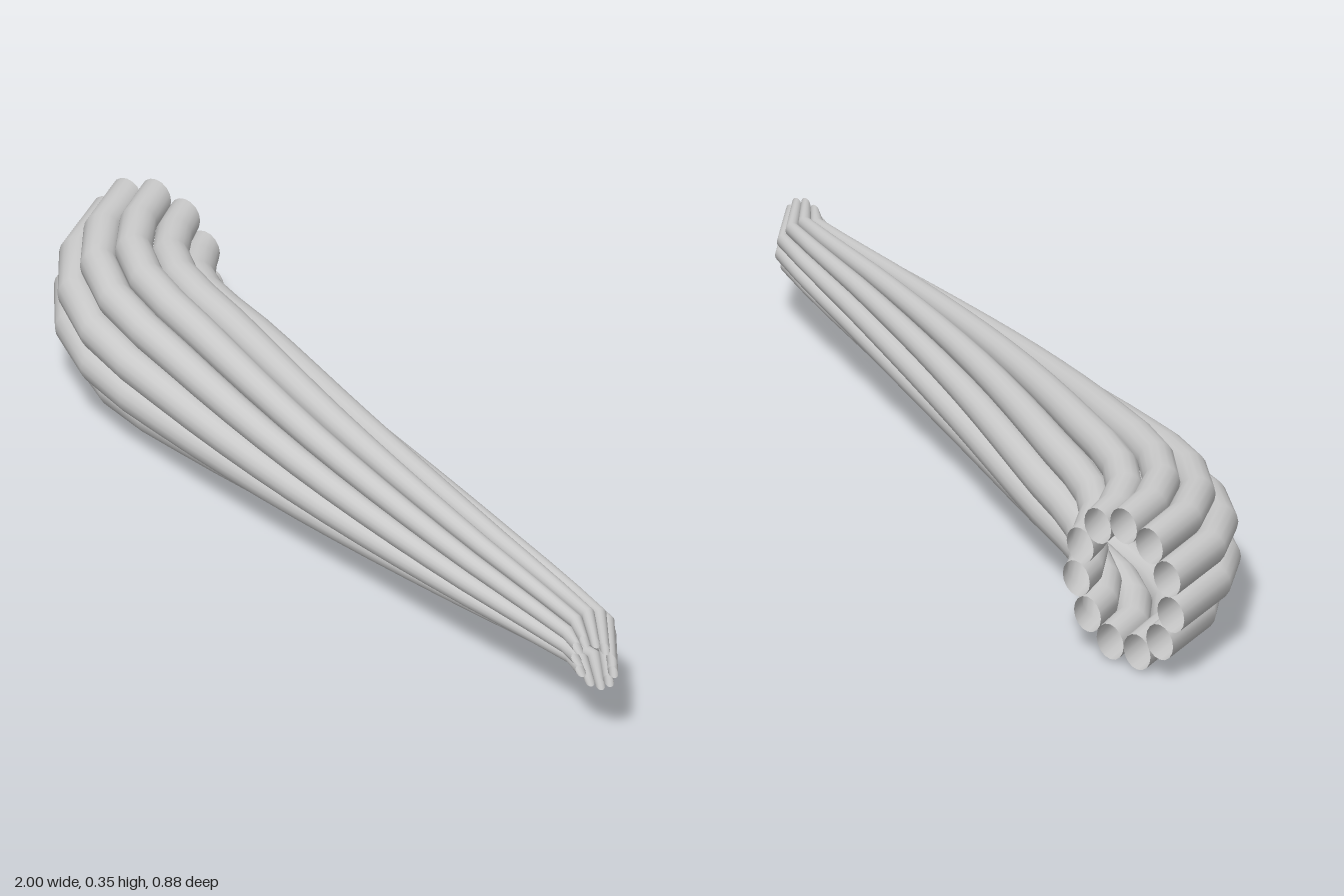
import * as THREE from 'three';
import { mergeVertices } from 'three/addons/utils/BufferGeometryUtils.js';

const TUBES = 11, SEGMENTS = 18, SIDES = 16;
const RING = 0.136, TUBE = 0.0384, CENTRE_Y = 0.174;
const STEP = (Math.PI * 2) / TUBES;
const TWIST = 2 * STEP; // the bundle turns by two tubes along its length

// Spine of the bundle: x, z and scale of the cross-section
const STATIONS = [
  [-0.828, -0.44, 1], [-0.79, -0.33, 1], [-0.71, -0.225, 1], [-0.6, -0.15, 0.99],
  [-0.4, -0.075, 0.94], [0, 0.07, 0.77], [0.5, 0.235, 0.55], [0.78, 0.325, 0.42],
  [0.905, 0.378, 0.36], [0.94, 0.435, 0.345],
];

// Cross-sections square to the spine; both end cuts face along z
function makeSections() {
  const spine = new THREE.CatmullRomCurve3(
    STATIONS.map(([x, z, s]) => new THREE.Vector3(x, s, z)), false, 'centripetal');
  const sections = [];
  for (let i = 0; i <= SEGMENTS; i++) {
    const u = i / SEGMENTS;
    const p = spine.getPointAt(u);
    const d = spine.getTangentAt(u).setY(0).normalize();
    if (i === 0 || i === SEGMENTS) d.set(0, 0, 1);
    const turn = TWIST * THREE.MathUtils.clamp((i - 1) / (SEGMENTS - 2), 0, 1);
    sections.push({ x: p.x, z: p.z, scale: p.y, side: [d.z, -d.x], turn });
  }
  return sections;
}

// An open cylinder whose rings are moved onto the sections
function makeTube(angle, sections) {
  let geo = new THREE.CylinderGeometry(TUBE, TUBE, 1, SIDES, SEGMENTS, true);
  const pos = geo.attributes.position;
  for (let k = 0; k < pos.count; k++) {
    const s = sections[Math.round((pos.getY(k) + 0.5) * SEGMENTS)];
    const a = angle + s.turn;
    const across = (RING * Math.cos(a) + pos.getZ(k)) * s.scale;
    const up = (RING * Math.sin(a) + pos.getX(k)) * s.scale;
    pos.setXYZ(k, s.x + s.side[0] * across, CENTRE_Y + up, s.z + s.side[1] * across);
  }
  geo.deleteAttribute('uv');
  geo.deleteAttribute('normal');
  geo = mergeVertices(geo, 1e-5);
  geo.computeVertexNormals();
  return geo;
}

export function createModel() {
  const model = new THREE.Group();
  model.name = 'tubeBundle';
  const material = new THREE.MeshStandardMaterial({ color: 0xcccccc, side: THREE.DoubleSide });
  const sections = makeSections();
  for (let i = 0; i < TUBES; i++) {
    const tube = new THREE.Mesh(makeTube(Math.PI / 2 + i * STEP, sections), material);
    tube.name = `tube${i + 1}`;
    model.add(tube);
  }
  return model;
}
